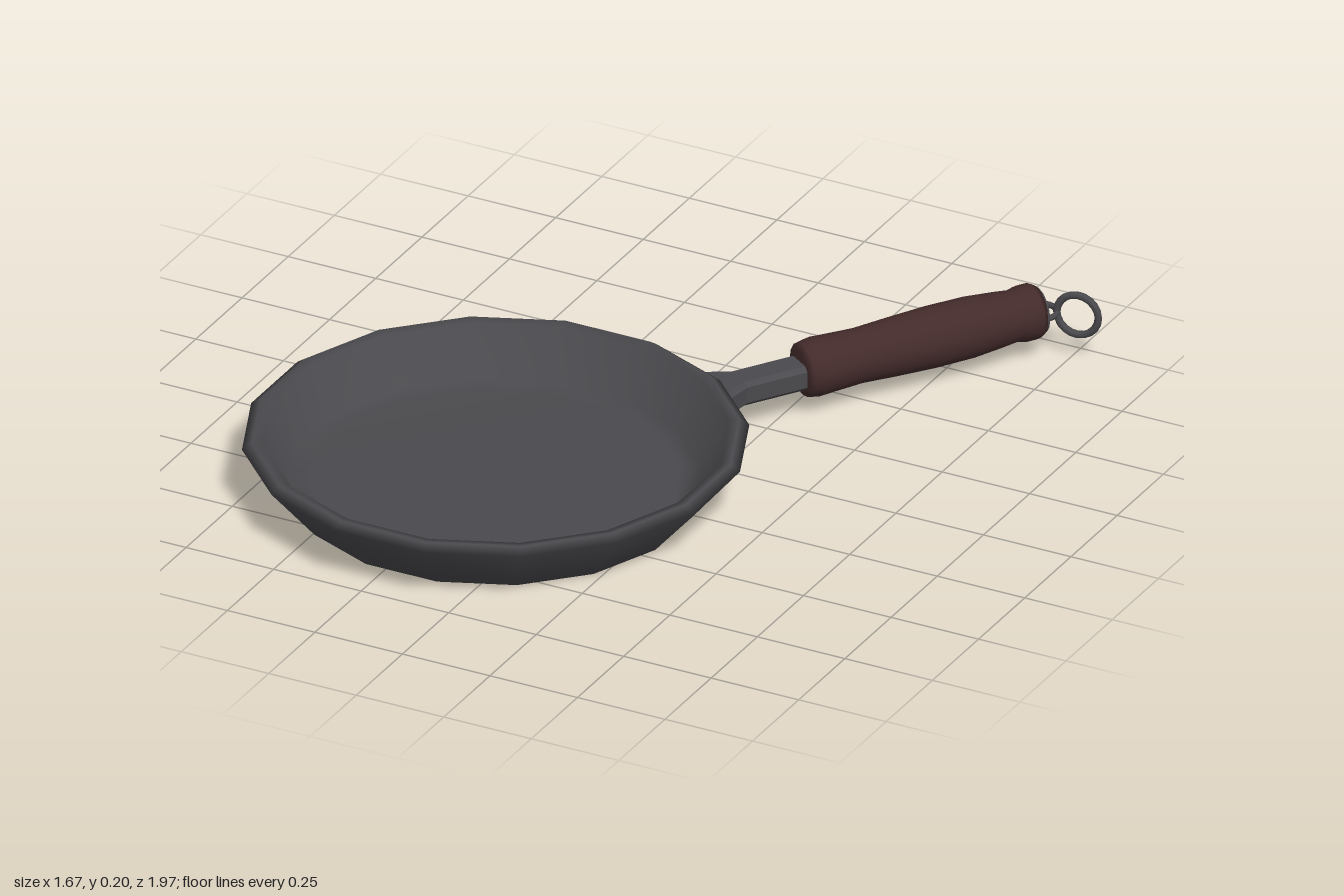
import * as THREE from 'three';

const mat = (name, color) => {
  const m = new THREE.MeshStandardMaterial({ color });
  m.name = name;
  return m;
};

const lathe = (pts, segments) =>
  new THREE.LatheGeometry(pts.map(([r, y]) => new THREE.Vector2(r, y)), segments);

export function createModel() {
  const iron = mat('cast iron', 0x4a494d);
  const wood = mat('dark wood', 0x442b2b);
  const root = new THREE.Group();
  root.name = 'fryingPan';

  const add = (parent, name, geometry, material) => {
    const mesh = new THREE.Mesh(geometry, material);
    mesh.name = name;
    parent.add(mesh);
    return mesh;
  };

  // Everything except the ring is laid out from the centre of the pan
  const body = new THREE.Group();
  body.name = 'body';
  body.position.set(-0.203, 0, 0.361);
  root.add(body);

  // Sixteen-sided pan; radii are given to the flats
  const toCorner = 1 / Math.cos(Math.PI / 16);
  const profile = [
    [0, 0.003], [0.51, 0.003], [0.632, 0.15], [0.608, 0.167],
    [0.582, 0.163], [0.51, 0.045], [0.46, 0.035], [0, 0.035],
  ].map(([r, y]) => [r * toCorner, y]);
  add(body, 'pan', lathe(profile, 16), iron).rotation.y = Math.PI / 16;

  // Brown patch underneath
  const patch = add(body, 'basePatch', new THREE.CylinderGeometry(0.18, 0.18, 0.004, 20), wood);
  patch.position.set(0.015, 0.002, -0.08);

  // Handle assembly runs along local -z, over one corner of the pan
  const handle = new THREE.Group();
  handle.name = 'handle';
  handle.rotation.y = -Math.PI * 33.75 / 180;
  body.add(handle);

  // Neck with a flared mount against the pan wall
  const half = [[0.08, 0.58], [0.08, 0.625], [0.044, 0.7], [0.044, 0.92]];
  const outline = [...half, ...half.map(([s, t]) => [-s, t]).reverse()];
  const neckShape = new THREE.Shape(outline.map(([s, t]) => new THREE.Vector2(s, t)));
  const neckGeometry = new THREE.ExtrudeGeometry(neckShape, {
    depth: 0.044, bevelThickness: 0.012, bevelSize: 0.012, bevelOffset: -0.012, bevelSegments: 1,
  });
  neckGeometry.rotateX(-Math.PI / 2);
  add(handle, 'neck', neckGeometry, iron).position.y = 0.091;

  // Turned wooden grip
  const grip = add(handle, 'grip', lathe([
    [0, 0.872], [0.055, 0.872], [0.072, 0.882], [0.078, 0.915], [0.075, 0.97],
    [0.072, 1.04], [0.077, 1.14], [0.081, 1.25], [0.08, 1.36], [0.073, 1.44],
    [0.068, 1.485], [0.074, 1.51], [0.074, 1.54], [0.066, 1.555], [0, 1.555],
  ], 16), wood);
  grip.rotation.x = -Math.PI / 2;
  grip.scale.x = 0.95;
  grip.position.y = 0.12;

  // Metal end cap and the staple that holds the ring
  const cap = add(handle, 'endCap', new THREE.CylinderGeometry(0.062, 0.064, 0.008, 16), iron);
  cap.rotation.x = -Math.PI / 2;
  cap.position.set(0, 0.12, -1.556);
  const staple = add(handle, 'staple', new THREE.TorusGeometry(0.043, 0.008, 6, 12, Math.PI), iron);
  staple.rotation.x = -Math.PI / 2;
  staple.position.set(0.012, 0.12, -1.558);

  // Hanging ring
  const ring = add(root, 'hangingRing', new THREE.TorusGeometry(0.056, 0.01, 8, 20), iron);
  ring.position.set(0.766, 0.122, -0.953);
  ring.rotation.y = 0.13;

  return root;
}
